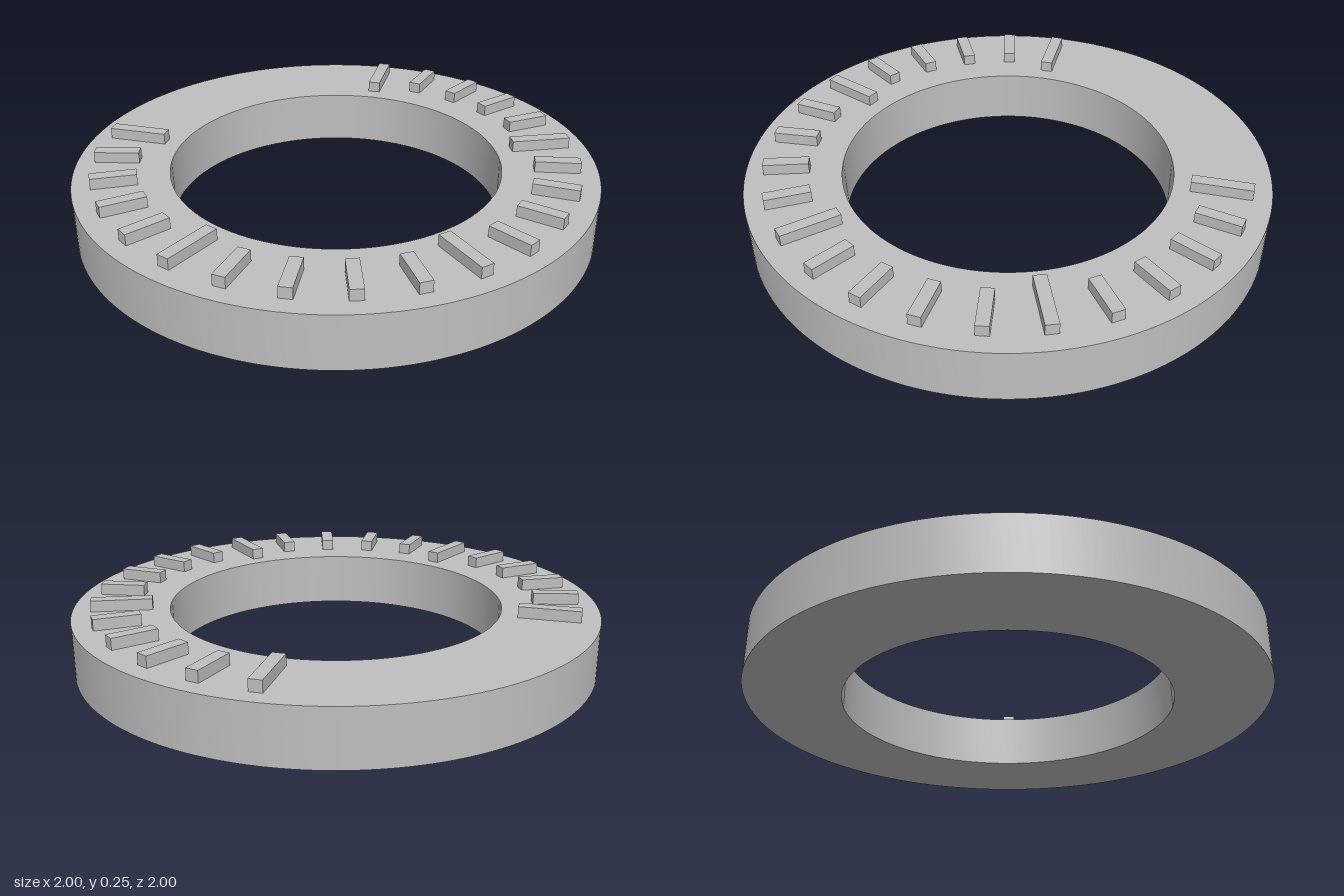
import * as THREE from 'three';
import { toCreasedNormals } from 'three/addons/utils/BufferGeometryUtils.js';

const RING_HEIGHT = 0.21;
const TICK_TOP = 0.253;
const TICK_OUTER = 0.93;
const TICK_WIDTH = 0.048;
const STEP = THREE.MathUtils.degToRad(13.5);

export function createModel() {
  const group = new THREE.Group();
  group.name = 'dialRing';
  const grey = new THREE.MeshStandardMaterial({ color: 0xbfbfbf });
  grey.name = 'light grey';

  // Flat ring with a round hole, sharp rims and smooth walls
  const outline = new THREE.Shape().absarc(0, 0, 1, 0, Math.PI * 2, false);
  outline.holes.push(new THREE.Path().absarc(0, 0, 0.635, 0, Math.PI * 2, true));
  const ringGeometry = new THREE.ExtrudeGeometry(outline, {
    depth: RING_HEIGHT, bevelEnabled: false, curveSegments: 96,
  });
  ringGeometry.rotateX(-Math.PI / 2);
  const ring = new THREE.Mesh(toCreasedNormals(ringGeometry, Math.PI / 6), grey);
  ring.name = 'ring';
  group.add(ring);

  // Raised scale marks, every fifth one longer, spread evenly about the front
  const sunk = 0.01;
  for (let i = -10; i <= 10; i++) {
    const major = i % 5 === 0;
    const length = TICK_OUTER - (major ? 0.7 : 0.757);
    const height = TICK_TOP - RING_HEIGHT + sunk;
    const geometry = new THREE.BoxGeometry(TICK_WIDTH, height, length);
    geometry.translate(0, TICK_TOP - height / 2, TICK_OUTER - length / 2);
    const tick = new THREE.Mesh(geometry, grey);
    tick.name = major ? 'majorTick' : 'minorTick';
    tick.rotation.y = i * STEP;
    group.add(tick);
  }
  return group;
}
